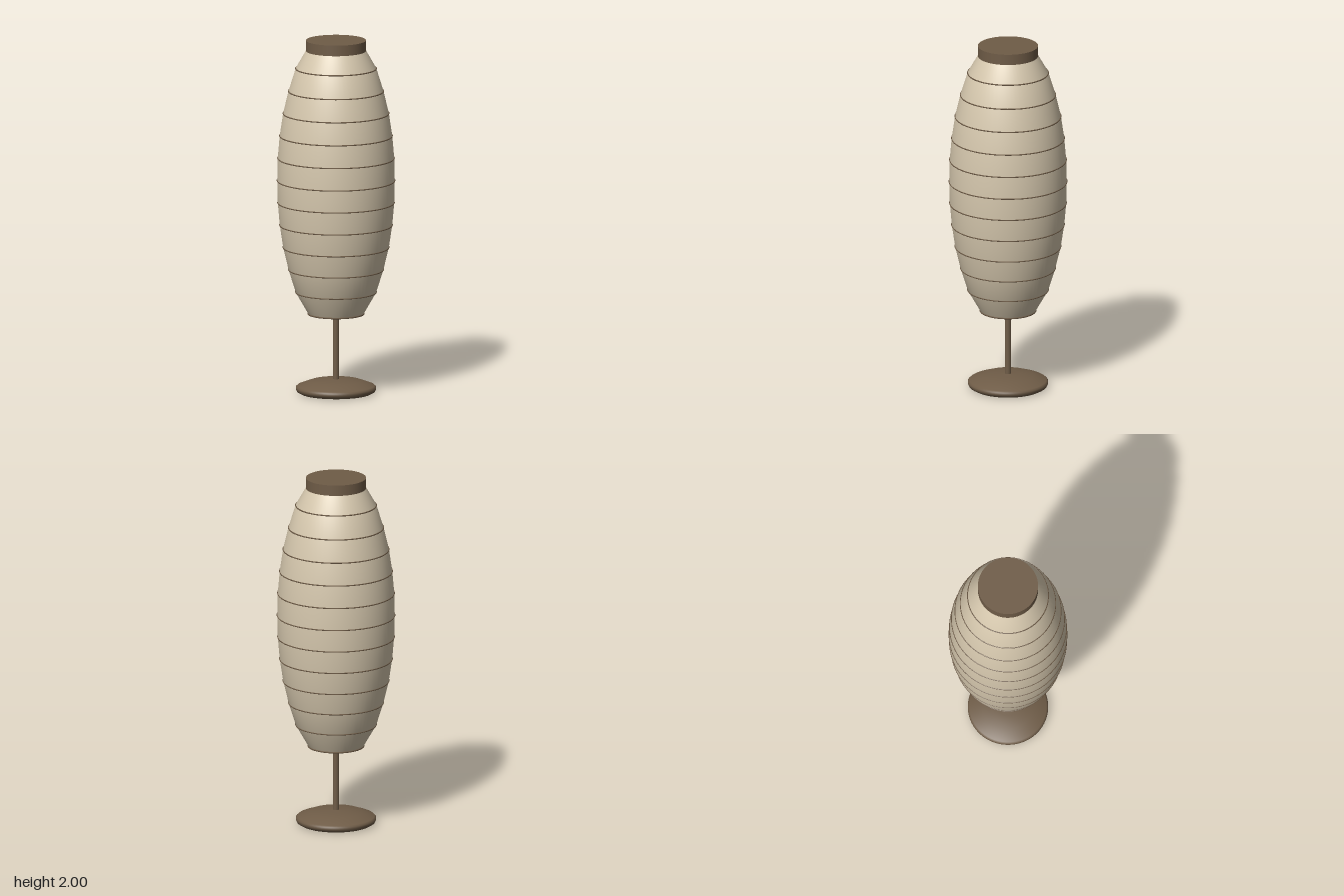
import * as THREE from 'three';

export function createModel() {
  const group = new THREE.Group();
  const paper = new THREE.MeshStandardMaterial({ color: 0xd6c8ae, side: THREE.DoubleSide });
  paper.name = 'cream paper';
  const wood = new THREE.MeshStandardMaterial({ color: 0x6f5c47 });
  wood.name = 'brown wood';

  const add = (name, geometry, material, y = 0) => {
    const mesh = new THREE.Mesh(geometry, material);
    mesh.name = name;
    mesh.position.y = y;
    group.add(mesh);
    return mesh;
  };
  const lathe = (points) =>
    new THREE.LatheGeometry(points.map(([r, y]) => new THREE.Vector2(r, y)), 64);

  // Shade: open paper lantern, one profile point per rib
  const profile = [
    [0.155, 0.45], [0.225, 0.572], [0.265, 0.7], [0.295, 0.826], [0.314, 0.953],
    [0.325, 1.08], [0.328, 1.205], [0.325, 1.332], [0.314, 1.459], [0.295, 1.586],
    [0.265, 1.712], [0.225, 1.84], [0.168, 1.94],
  ];
  add('shade', lathe(profile), paper);

  // Thin ribs around the shade, including the bottom rim
  profile.slice(0, -1).forEach(([r, y], i) => {
    const rib = new THREE.TorusGeometry(r, i === 0 ? 0.005 : 0.0035, 6, 64).rotateX(Math.PI / 2);
    add(i === 0 ? 'bottomRim' : 'rib' + i, rib, wood, y);
  });

  // Solid cap on top
  add('topCap', new THREE.CylinderGeometry(0.168, 0.168, 0.062, 64), wood, 1.969);

  // Stem and the crossbar that holds the shade
  add('stem', new THREE.CylinderGeometry(0.018, 0.018, 1.88, 24), wood, 1.01);
  add('crossbar', new THREE.CylinderGeometry(0.008, 0.008, 0.31, 12).rotateZ(Math.PI / 2), wood, 0.455);

  // Round foot with a shallow sloping top
  add('foot', lathe([
    [0, 0.004], [0.2, 0.004], [0.2, 0.004], [0.218, 0.01], [0.224, 0.022], [0.224, 0.034],
    [0.215, 0.042], [0.145, 0.068], [0.07, 0.076], [0, 0.08],
  ].map(([r, y]) => [r, y < 0.005 ? 0 : y])), wood);

  return group;
}
